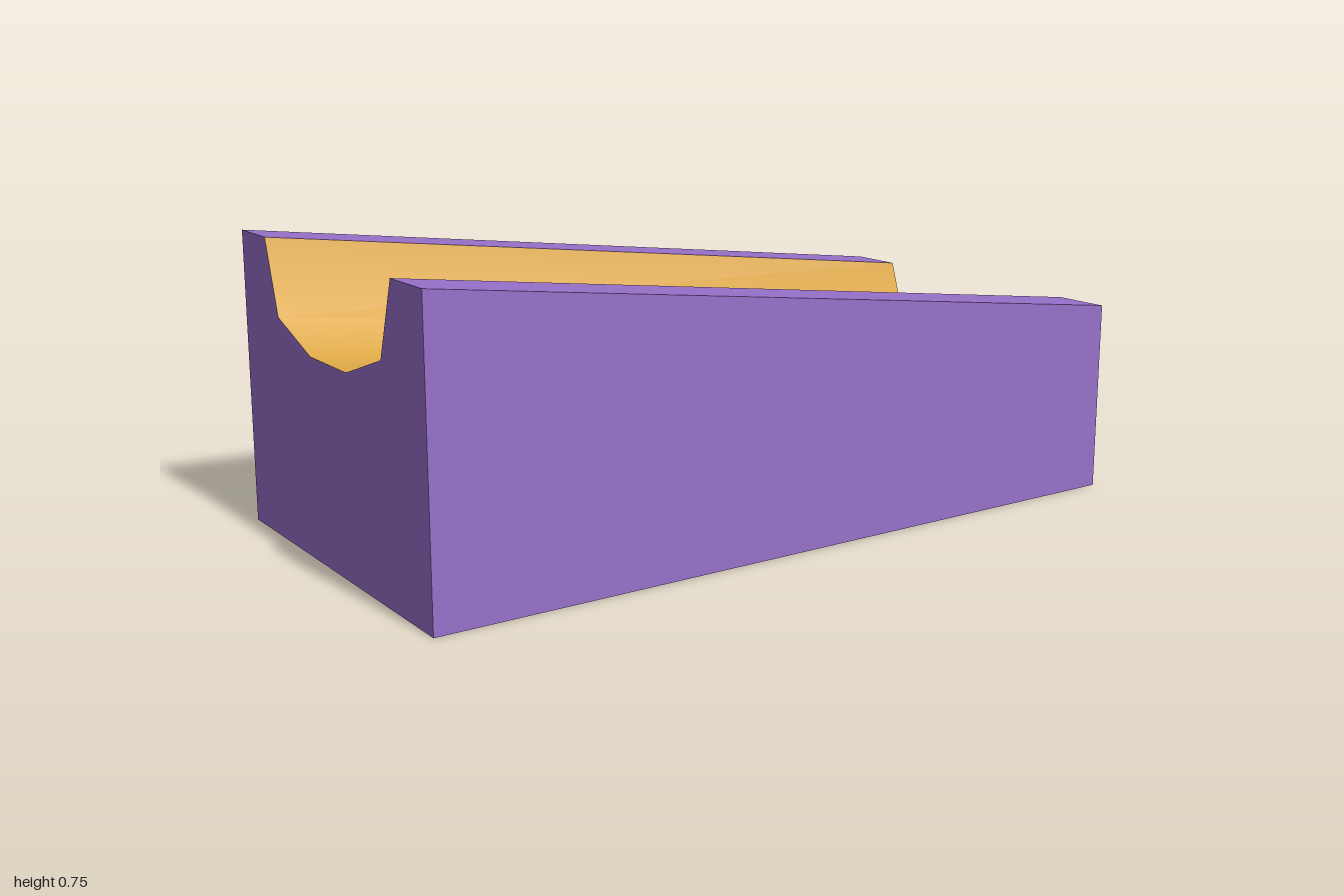
import * as THREE from 'three';

const RISE = 0.25; // extra height at the -x end

// Height of a profile point at position x; the base stays flat
const heightAt = (y, x) => (y > 0 ? y + RISE * (1 - x) / 2 : 0);

// Surface swept along x through [z, y] profile points
function strip(profile) {
  const geo = new THREE.PlaneGeometry(2, 1, 1, profile.length - 1);
  const pos = geo.attributes.position;
  for (let i = 0; i < pos.count; i++) {
    const [z, y] = profile[Math.floor(i / 2)];
    const x = pos.getX(i);
    pos.setXYZ(i, x, heightAt(y, x), z);
  }
  geo.computeVertexNormals();
  return geo;
}

// Flat end face at x = side (the profile is symmetric in z)
function endCap(profile, side) {
  const pts = profile.map(([z, y]) => new THREE.Vector2(z, heightAt(y, side)));
  return new THREE.ShapeGeometry(new THREE.Shape(pts))
    .rotateY(side * Math.PI / 2)
    .translate(side, 0, 0);
}

export function createModel() {
  const model = new THREE.Group();
  model.name = 'slopedChannelBlock';

  const purple = new THREE.MeshStandardMaterial({ color: 0x9770ca });
  purple.name = 'purple';
  const gold = new THREE.MeshStandardMaterial({ color: 0xdfaa48 });
  gold.name = 'gold';

  const add = (name, geo, mat) => {
    const mesh = new THREE.Mesh(geo, mat);
    mesh.name = name;
    model.add(mesh);
  };

  // Cross-section at the low end, as [z, y]
  const channel = [[-0.35, 0.5], [-0.288, 0.313], [-0.1, 0.25], [0.1, 0.25], [0.288, 0.313], [0.35, 0.5]];
  const backBase = [-0.5, 0], backTop = [-0.5, 0.5];
  const frontTop = [0.5, 0.5], frontBase = [0.5, 0];
  const outline = [backBase, backTop, ...channel, frontTop, frontBase];

  // Smooth rounded trough
  add('channel', strip(channel), gold);

  // Flat faces of the block
  add('backWall', strip([backBase, backTop]), purple);
  add('backRim', strip([backTop, channel[0]]), purple);
  add('frontRim', strip([channel[5], frontTop]), purple);
  add('frontWall', strip([frontTop, frontBase]), purple);
  add('base', strip([frontBase, backBase]), purple);
  add('lowEnd', endCap(outline, 1), purple);
  add('highEnd', endCap(outline, -1), purple);

  return model;
}
